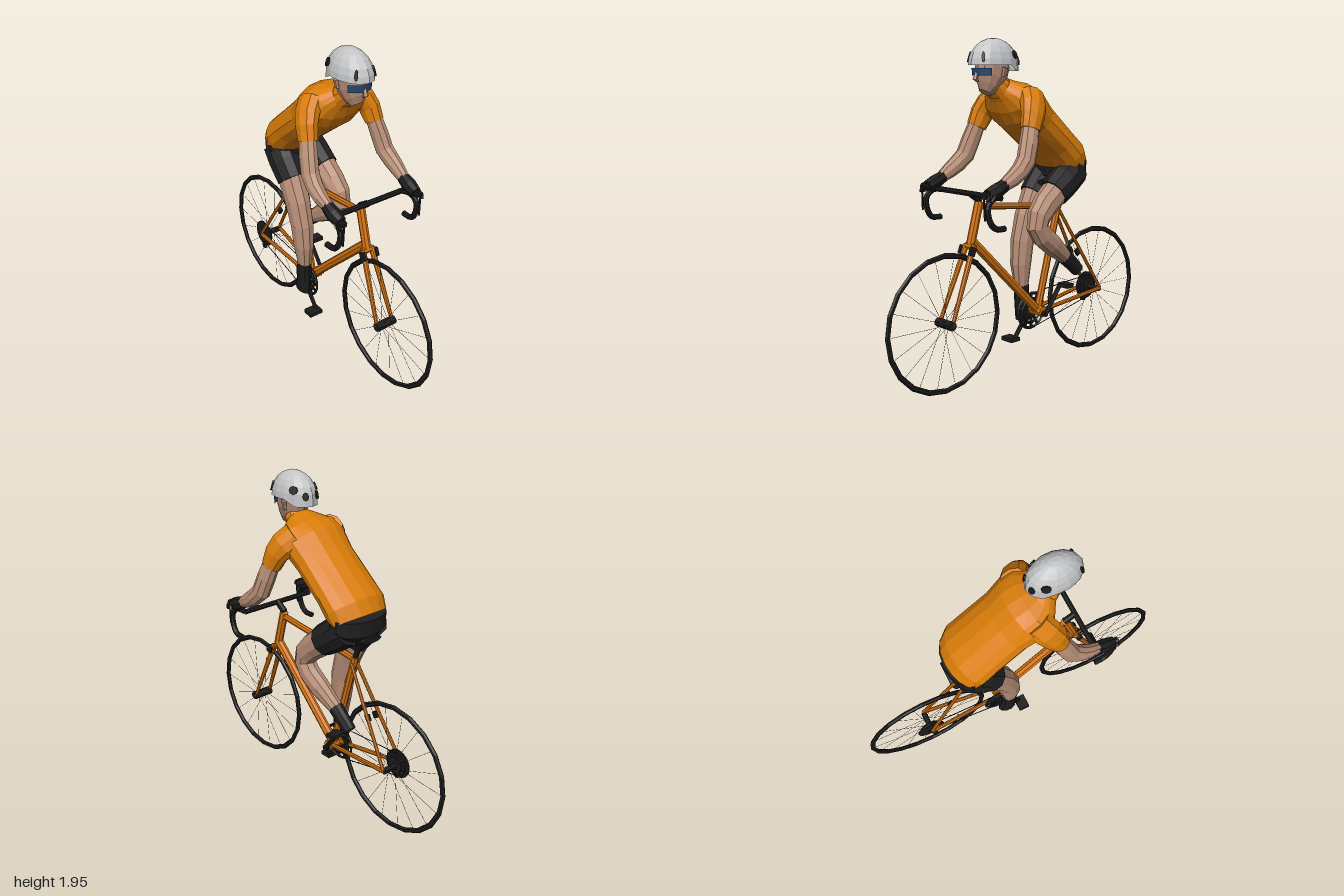
import * as THREE from 'three';

const mat = (name, color, side = THREE.FrontSide) =>
  Object.assign(new THREE.MeshStandardMaterial({ color, flatShading: true, side }), { name });
const frameOrange = mat('frame orange', 0xd4730f);
const jerseyOrange = mat('jersey orange', 0xd97d09);
const black = mat('black', 0x1c1c1c);
const shortsBlack = mat('shorts black', 0x202022);
const skin = mat('skin', 0xb88f77);
const shell = mat('helmet grey', 0xc2c4c6, THREE.DoubleSide);
const lens = mat('lens blue', 0x26466f, THREE.DoubleSide);
const V = (p) => new THREE.Vector3(...p);

export function createModel() {
  const model = new THREE.Group();
  model.name = 'cyclist';

  const add = (name, geo, material, parent = model) => {
    const m = new THREE.Mesh(geo, material);
    m.name = name;
    parent.add(m);
    return m;
  };

  // Skin elliptical rings [x, y, z, radius in the side plane, radius across]
  const loft = (name, rings, material, n = 10) => {
    const pos = [], idx = [], c = rings.map((r) => V(r));
    rings.forEach((r, i) => {
      const t = c[Math.min(i + 1, c.length - 1)].clone().sub(c[Math.max(i - 1, 0)]).normalize();
      const v = new THREE.Vector3(0, 0, 1).addScaledVector(t, -t.z).normalize();
      const u = v.clone().cross(t);
      for (let j = 0; j < n; j++) {
        const a = (j / n) * Math.PI * 2;
        pos.push(...c[i].clone().addScaledVector(u, Math.cos(a) * r[3]).addScaledVector(v, Math.sin(a) * r[4]));
      }
    });
    const last = (rings.length - 1) * n, c0 = rings.length * n;
    pos.push(...c[0], ...c[c.length - 1]);
    for (let j = 0; j < n; j++) {
      const k = (j + 1) % n;
      for (let b = 0; b < last; b += n) idx.push(b + j, b + k, b + n + j, b + k, b + n + k, b + n + j);
      idx.push(c0, k, j, c0 + 1, last + j, last + k);
    }
    const g = new THREE.BufferGeometry();
    g.setAttribute('position', new THREE.Float32BufferAttribute(pos, 3));
    g.setIndex(idx);
    g.computeVertexNormals();
    return add(name, g, material);
  };

  // Straight tube between two points
  const rod = (name, a, b, r, material, parent = model, sides = 8, r2 = r) => {
    const A = V(a), B = V(b), d = B.clone().sub(A);
    const m = add(name, new THREE.CylinderGeometry(r2, r, d.length(), sides), material, parent);
    m.position.copy(A).add(B).multiplyScalar(0.5);
    m.quaternion.setFromUnitVectors(new THREE.Vector3(0, 1, 0), d.normalize());
    return m;
  };
  const box = (name, size, p, material, rz = 0) => {
    const m = add(name, new THREE.BoxGeometry(...size), material);
    m.position.set(...p);
    m.rotation.z = rz;
    return m;
  };

  // Wheels
  for (const x of [-0.6, 0.6]) {
    const w = new THREE.Group();
    w.name = x < 0 ? 'rearWheel' : 'frontWheel';
    w.position.set(x, 0.4, 0);
    model.add(w);
    add('tyre', new THREE.TorusGeometry(0.383, 0.016, 6, 20), black, w).scale.z = 0.8;
    for (let i = 0; i < 18; i++) {
      const a = (i / 18) * Math.PI * 2, z = i % 2 ? 0.025 : -0.025;
      rod('spoke', [0, 0, z], [Math.cos(a) * 0.37, Math.sin(a) * 0.37, 0], 0.0011, black, w, 3);
    }
    rod('hub', [0, 0, -0.065], [0, 0, 0.065], x < 0 ? 0.018 : 0.026, black, w, 10);
  }

  // Frame
  const bb = [-0.11, 0.34, 0];
  rod('seatTube', bb, [-0.285, 0.98, 0], 0.022, frameOrange);
  rod('topTube', [-0.275, 0.965, 0], [0.36, 1.03, 0], 0.019, frameOrange);
  rod('downTube', bb, [0.405, 0.84, 0], 0.028, frameOrange);
  rod('headTube', [0.35, 1.055, 0], [0.415, 0.82, 0], 0.026, frameOrange);
  rod('bottomBracket', [-0.11, 0.34, -0.05], [-0.11, 0.34, 0.05], 0.032, frameOrange);
  rod('forkCrown', [0.42, 0.81, -0.035], [0.42, 0.81, 0.035], 0.02, frameOrange);
  for (const s of [-1, 1]) {
    rod('forkBlade', [0.42, 0.82, s * 0.03], [0.595, 0.4, s * 0.055], 0.018, frameOrange, model, 8, 0.011);
    rod('seatStay', [-0.275, 0.94, s * 0.02], [-0.6, 0.41, s * 0.07], 0.011, frameOrange);
    rod('chainStay', [-0.12, 0.345, s * 0.03], [-0.6, 0.405, s * 0.07], 0.013, frameOrange);
    box('frontBrake', [0.035, 0.05, 0.02], [0.44, 0.79, s * 0.045], black, 0.4);
    box('rearBrake', [0.03, 0.04, 0.018], [-0.43, 0.66, s * 0.03], black, -0.5);
  }

  // Saddle
  rod('seatPost', [-0.283, 0.97, 0], [-0.345, 1.13, 0], 0.016, black);
  loft('saddle', [[-0.42, 1.13, 0, 0.02, 0.07], [-0.33, 1.135, 0, 0.024, 0.065],
    [-0.22, 1.13, 0, 0.02, 0.03], [-0.13, 1.12, 0, 0.015, 0.02]], black, 8);

  // Drivetrain
  const cassette = [0.088, 0.07, 0.05];
  cassette.forEach((r, i) => rod('cassette', [-0.6, 0.405, 0.045 - i * 0.012], [-0.6, 0.405, 0.055 - i * 0.012], r, black, model, 16));
  const ring = new THREE.Group();
  ring.name = 'chainring';
  ring.position.set(-0.105, 0.33, 0.05);
  model.add(ring);
  for (const r of [0.108, 0.075]) add('toothRing', new THREE.TorusGeometry(r, 0.009, 4, 24), black, ring);
  for (let i = 0; i < 12; i++) {
    const arm = add('spiderArm', new THREE.BoxGeometry(0.108, 0.018, 0.006), black, ring);
    const a = (i / 12) * Math.PI * 2;
    arm.position.set(Math.cos(a) * 0.054, Math.sin(a) * 0.054, 0);
    arm.rotation.z = a;
  }
  rod('upperChain', [-0.6, 0.47, 0.045], [-0.105, 0.438, 0.05], 0.003, black, model, 4);
  rod('lowerChain', [-0.6, 0.325, 0.045], [-0.13, 0.222, 0.05], 0.003, black, model, 4);
  box('derailleur', [0.03, 0.09, 0.016], [-0.59, 0.35, 0.06], black, 0.2);
  rod('crankAxle', [-0.11, 0.33, -0.075], [-0.11, 0.33, 0.075], 0.018, black);
  rod('rightCrank', [-0.11, 0.33, 0.07], [0.02, 0.17, 0.07], 0.014, black, model, 6);
  rod('leftCrank', [-0.11, 0.33, -0.07], [-0.24, 0.5, -0.07], 0.014, black, model, 6);
  box('rightPedal', [0.07, 0.024, 0.09], [0.025, 0.17, 0.095], black);
  box('leftPedal', [0.06, 0.024, 0.08], [-0.24, 0.495, -0.11], black);

  // Handlebar
  rod('stem', [0.345, 1.06, 0], [0.41, 1.105, 0], 0.02, black);
  rod('barTop', [0.41, 1.105, -0.25], [0.41, 1.105, 0.25], 0.016, black);
  for (const s of [-1, 1]) {
    const path = new THREE.CatmullRomCurve3([[0.41, 1.105, 0.245], [0.47, 1.11, 0.257], [0.515, 1.07, 0.263],
      [0.505, 0.99, 0.267], [0.47, 0.95, 0.27], [0.41, 0.945, 0.272]].map(([x, y, z]) => new THREE.Vector3(x, y, z * s)));
    add('barDrop', new THREE.TubeGeometry(path, 14, 0.017, 7), black);
    rod('dropEnd', [0.41, 0.945, s * 0.272], [0.407, 0.945, s * 0.272], 0.017, black);
    rod('brakeHood', [0.45, 1.115, s * 0.258], [0.545, 1.135, s * 0.262], 0.02, black);
    rod('brakeLever', [0.545, 1.14, s * 0.262], [0.54, 1.0, s * 0.265], 0.006, black, model, 5);
  }

  // Torso, collar and shorts
  loft('jersey', [[-0.31, 1.225, 0, 0.118, 0.185], [-0.275, 1.285, 0, 0.124, 0.2], [-0.2, 1.355, 0, 0.116, 0.196],
    [-0.03, 1.495, 0, 0.125, 0.19], [0.06, 1.575, 0, 0.137, 0.205], [0.12, 1.625, 0, 0.112, 0.2],
    [0.165, 1.66, 0, 0.08, 0.14], [0.2, 1.69, 0, 0.062, 0.08]], jerseyOrange, 16);
  loft('collar', [[0.185, 1.665, 0, 0.07, 0.09], [0.225, 1.71, 0, 0.062, 0.07]], jerseyOrange, 12);
  loft('shortsHips', [[-0.27, 1.12, 0, 0.09, 0.14], [-0.295, 1.18, 0, 0.122, 0.188], [-0.3, 1.255, 0, 0.122, 0.188]], shortsBlack, 14);

  // Right leg, stretched to the low pedal
  loft('rightShortsLeg', [[-0.315, 1.19, 0.09, 0.1, 0.098], [-0.25, 1.12, 0.1, 0.1, 0.094], [-0.175, 1.03, 0.1, 0.094, 0.088]], shortsBlack);
  loft('rightLeg', [[-0.19, 1.05, 0.1, 0.086, 0.08], [-0.12, 0.9, 0.1, 0.082, 0.075], [-0.078, 0.76, 0.1, 0.074, 0.068],
    [-0.065, 0.62, 0.1, 0.067, 0.06], [-0.065, 0.48, 0.095, 0.045, 0.04]], skin);
  loft('rightSock', [[-0.065, 0.49, 0.095, 0.049, 0.044], [-0.07, 0.38, 0.095, 0.05, 0.04], [-0.085, 0.285, 0.095, 0.06, 0.038]], black);

  // Left leg, bent with the knee raised
  loft('leftShortsLeg', [[-0.315, 1.19, -0.09, 0.1, 0.098], [-0.23, 1.13, -0.1, 0.1, 0.094], [-0.135, 1.065, -0.105, 0.092, 0.086]], shortsBlack);
  loft('leftLeg', [[-0.16, 1.08, -0.105, 0.086, 0.08], [-0.06, 1.005, -0.11, 0.08, 0.074], [-0.005, 0.945, -0.118, 0.075, 0.066],
    [0.01, 0.885, -0.12, 0.07, 0.06], [-0.03, 0.825, -0.12, 0.068, 0.06], [-0.11, 0.765, -0.115, 0.067, 0.058],
    [-0.245, 0.665, -0.1, 0.043, 0.04]], skin);
  loft('leftSock', [[-0.235, 0.672, -0.1, 0.049, 0.043], [-0.3, 0.62, -0.1, 0.047, 0.04], [-0.355, 0.57, -0.098, 0.042, 0.037]], black);

  // Arms
  for (const s of [-1, 1]) {
    const side = (rings) => rings.map(([x, y, z, ...r]) => [x, y, z * s, ...r]);
    loft('sleeve', side([[0.075, 1.63, 0.13, 0.085, 0.07], [0.11, 1.58, 0.185, 0.085, 0.066],
      [0.14, 1.53, 0.212, 0.074, 0.058], [0.172, 1.455, 0.225, 0.06, 0.053]]), jerseyOrange);
    loft('arm', side([[0.165, 1.48, 0.222, 0.052, 0.045], [0.2, 1.38, 0.242, 0.057, 0.05], [0.235, 1.29, 0.255, 0.057, 0.05],
      [0.29, 1.24, 0.265, 0.052, 0.047], [0.345, 1.205, 0.267, 0.046, 0.041], [0.42, 1.165, 0.262, 0.032, 0.03]]), skin);
    loft('glove', side([[0.395, 1.177, 0.263, 0.036, 0.035], [0.45, 1.152, 0.262, 0.042, 0.042], [0.51, 1.13, 0.258, 0.036, 0.034]]), black, 8);
    for (let i = 0; i < 3; i++) {
      rod('finger', [0.49 + i * 0.018, 1.14 - i * 0.004, s * 0.288], [0.505 + i * 0.018, 1.1, s * 0.28], 0.009, i ? black : skin, model, 5);
    }
  }

  // Head
  loft('neck', [[0.17, 1.65, 0, 0.055, 0.058], [0.25, 1.76, 0, 0.06, 0.06]], skin);
  loft('head', [[0.3, 1.655, 0, 0.035, 0.035], [0.28, 1.69, 0, 0.073, 0.058], [0.258, 1.74, 0, 0.1, 0.076],
    [0.245, 1.8, 0, 0.105, 0.084], [0.24, 1.86, 0, 0.09, 0.07]], skin, 12);
  loft('nose', [[0.358, 1.765, 0, 0.012, 0.01], [0.372, 1.728, 0, 0.014, 0.016], [0.355, 1.718, 0, 0.008, 0.012]], skin, 5);
  for (const s of [-1, 1]) loft('ear', [[0.23, 1.74, s * 0.076, 0.014, 0.01], [0.225, 1.79, s * 0.085, 0.02, 0.012]], skin, 6);

  // Glasses: a curved wraparound band
  const band = new THREE.CylinderGeometry(0.108, 0.106, 0.042, 10, 1, true, Math.PI * 0.18, Math.PI * 0.64);
  const glasses = add('glasses', band, lens);
  glasses.position.set(0.26, 1.768, 0);
  glasses.scale.z = 0.88;

  // Helmet dome, its edge raised over the ears and lowered at the back
  const helmet = new THREE.Group();
  helmet.name = 'helmet';
  helmet.position.set(0.236, 1.8, 0);
  model.add(helmet);
  const R = [0.163, 0.152, 0.107];
  const dome = new THREE.SphereGeometry(1, 14, 6, 0, Math.PI * 2, 0, Math.PI / 2).scale(...R);
  const p = dome.attributes.position;
  for (let i = 0; i < p.count; i++) {
    if (p.getY(i) < 0.01) p.setY(i, p.getX(i) < -0.05 ? -0.028 : 0.005);
  }
  dome.computeVertexNormals();
  add('helmetShell', dome, shell, helmet);

  // Dark vents: [bearing from the front, elevation, width, height]
  for (const [a, e, w, h] of [[2.2, 0.42, 0.026, 0.024], [2.75, 0.2, 0.018, 0.024], [0.62, 0.32, 0.01, 0.03]]) {
    for (const s of [-1, 1]) {
      const d = V([Math.cos(a) * Math.cos(e), Math.sin(e), s * Math.sin(a) * Math.cos(e)]);
      const vent = add('vent', new THREE.CylinderGeometry(1, 1, 0.009, 8).rotateX(Math.PI / 2).scale(w, h, 1), black, helmet);
      vent.position.set(d.x * R[0], d.y * R[1], d.z * R[2]);
      const normal = V([d.x / R[0], d.y / R[1], d.z / R[2]]).normalize();
      vent.lookAt(vent.position.clone().add(normal).add(helmet.position));
    }
  }
  return model;
}
